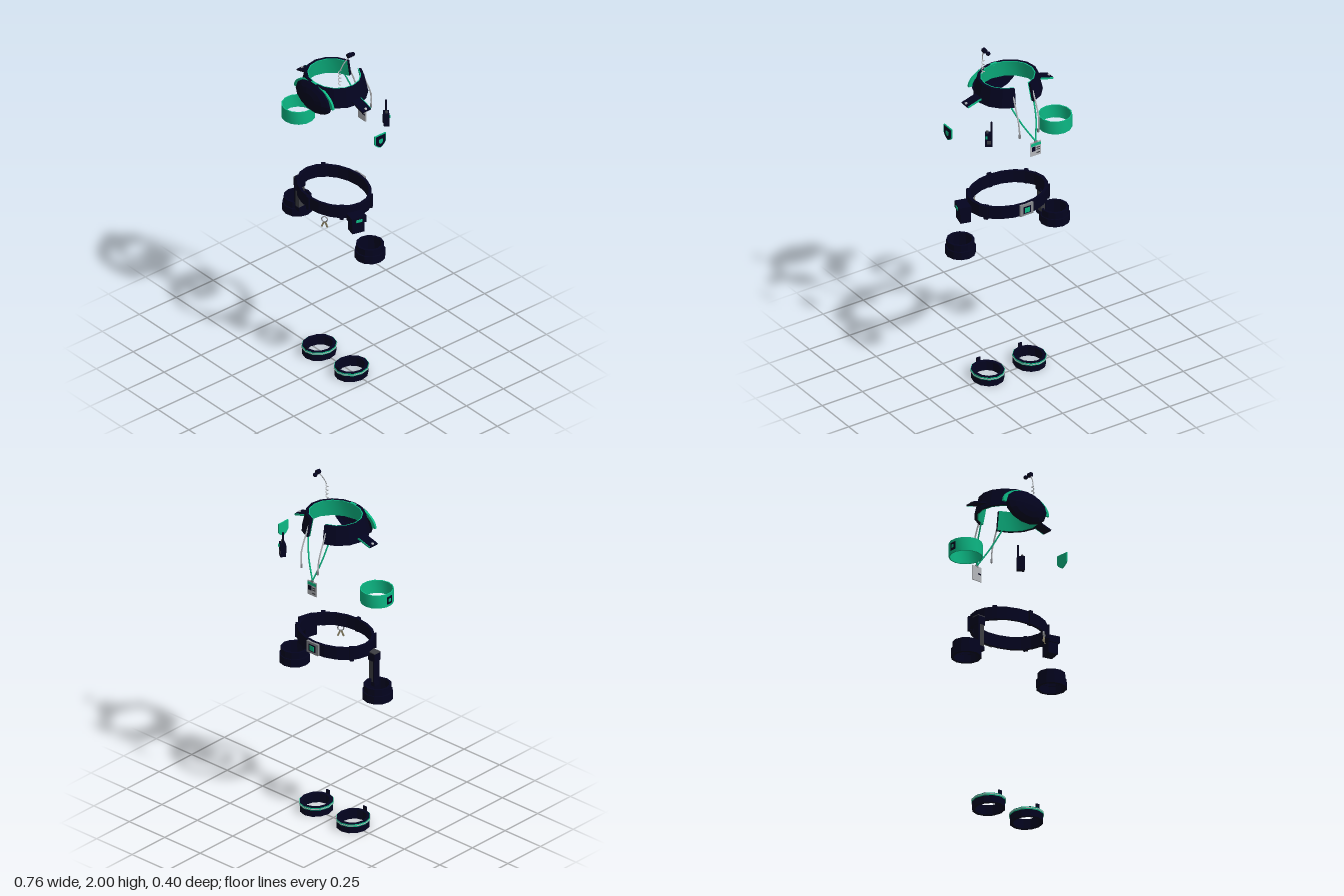
import * as THREE from 'three';
import { toCreasedNormals } from 'three/addons/utils/BufferGeometryUtils.js';

const mat = (name, color, side = THREE.FrontSide, flatShading = true) => {
  const m = new THREE.MeshStandardMaterial({ color, side, flatShading });
  m.name = name;
  return m;
};

export function createModel() {
  const root = new THREE.Group();
  const navy = mat('navy', 0x03031f, THREE.DoubleSide);
  const green = mat('green', 0x0cb884, THREE.DoubleSide, false);
  const grey = mat('lightGrey', 0xb4b7bb);
  const mid = mat('midGrey', 0x85878c);
  const steel = mat('darkGrey', 0x3c3d42);
  const brass = mat('brass', 0x8c8468);

  const add = (parent, name, geo, m, x = 0, y = 0, z = 0) => {
    const mesh = new THREE.Mesh(geo, m);
    mesh.name = name;
    mesh.position.set(x, y, z);
    parent.add(mesh);
    return mesh;
  };
  const group = (name, x = 0, y = 0, z = 0) => {
    const g = new THREE.Group();
    g.name = name;
    g.position.set(x, y, z);
    root.add(g);
    return g;
  };
  const box = (parent, name, w, h, d, m, x, y, z) => add(parent, name, new THREE.BoxGeometry(w, h, d), m, x, y, z);
  const v = (p) => new THREE.Vector3(...p);
  const tube = (parent, name, pts, r, m, n = 12) =>
    add(parent, name, new THREE.TubeGeometry(new THREE.CatmullRomCurve3(pts.map(v)), n, r, 5), m);

  // Closed band: outer radii r0 (bottom) and r1 (top), wall thickness t
  const profile = (r0, r1, t, h) => [[r0, 0], [r1, h], [r1 - t, h], [r0 - t, 0], [r0, 0]].map((p) => new THREE.Vector2(...p));
  const band = (parent, name, r0, r1, t, h, m, y = 0, n = 12, start = 0, len = Math.PI * 2) =>
    add(parent, name, toCreasedNormals(new THREE.LatheGeometry(profile(r0, r1, t, h), n, start, len), 0.7), m, 0, y, 0);

  // Collar, open at the throat, with a lining
  const collar = group('collar', 0, 1.7, 0.017);
  collar.scale.z = 0.9;
  const half = Math.PI - 0.3;
  band(collar, 'collarBand', 0.188, 0.165, 0.016, 0.1, navy, 0, 14, -half, half * 2);
  band(collar, 'collarLining', 0.172, 0.149, 0.006, 0.1, green, 0, 14, -half, half * 2);
  for (const s of [-1, 1]) {
    const end = add(collar, 'collarEnd', new THREE.ShapeGeometry(new THREE.Shape(profile(0.188, 0.165, 0.016, 0.1).slice(0, 4))), navy);
    end.rotation.y = s * half - Math.PI / 2;
  }

  // Folded hood behind the collar, with an arched trim
  const hood = add(root, 'hood', new THREE.SphereGeometry(1, 14, 4, 0, Math.PI * 2, 0, Math.PI / 2).rotateX(Math.PI / 2), navy, 0, 1.714, 0.152);
  hood.scale.set(0.14, 0.089, 0.047);
  const arch = new THREE.Shape();
  arch.absellipse(0, 0, 0.157, 0.093, 0, Math.PI, false);
  arch.absellipse(0, 0, 0.135, 0.077, Math.PI, 0, true);
  add(root, 'hoodTrim', new THREE.ExtrudeGeometry(arch, { depth: 0.012, bevelEnabled: false, curveSegments: 16 }), green, 0, 1.708, 0.147);

  // Shoulder straps, drawstrings and lanyard ribbons
  for (const s of [-1, 1]) {
    const strap = group('shoulderStrap', s * 0.223, 1.715, 0.02);
    strap.rotation.z = -s * 0.28;
    box(strap, 'strapPlate', 0.09, 0.008, 0.058, navy, 0, 0, 0);
    box(strap, 'strapEdge', 0.085, 0.009, 0.004, green, 0, 0, -0.03);
    add(strap, 'strapButton', new THREE.CylinderGeometry(0.008, 0.008, 0.006, 5).rotateY(Math.PI), grey, s * 0.034, 0.006, 0);
    tube(root, 'drawstring', [[s * 0.06, 1.76, -0.125], [s * 0.062, 1.69, -0.155], [s * 0.062, 1.62, -0.18], [s * 0.058, 1.55, -0.183]], 0.0045, grey, 6);
    add(root, 'drawstringTip', new THREE.CylinderGeometry(0.006, 0.006, 0.022, 6), mid, s * 0.058, 1.545, -0.183);
    tube(root, 'lanyard', [[s * 0.072, 1.7, -0.115], [s * 0.045 - 0.015, 1.6, -0.158], [-0.031, 1.495, -0.196]], 0.0045, green, 6);
  }

  // Identity card
  const card = group('identityCard', -0.031, 1.45, -0.197);
  box(card, 'cardPlate', 0.062, 0.082, 0.005, grey, 0, 0, 0);
  box(card, 'cardHeader', 0.06, 0.016, 0.003, green, 0, 0.027, -0.003);
  box(card, 'cardPhoto', 0.022, 0.026, 0.003, navy, 0.014, 0.001, -0.003);
  for (const y of [0.006, -0.006, -0.025]) box(card, 'cardLine', 0.02, 0.005, 0.003, steel, -0.014, y, -0.003);
  box(card, 'cardClip', 0.018, 0.012, 0.006, mid, 0, 0.042, 0);
  box(card, 'cardBackMark', 0.022, 0.007, 0.003, navy, 0.015, 0, 0.003);

  // Earpiece with coiled lead
  const coil = [];
  for (let i = 0; i <= 32; i++) {
    const a = (i / 8) * Math.PI * 2;
    coil.push([0.115 + 0.007 * Math.cos(a), 1.815 + i * 0.00275, 0.076 + 0.007 * Math.sin(a)]);
  }
  tube(root, 'earpieceCoil', coil, 0.0025, grey, 48);
  tube(root, 'earpieceLead', [[0.118, 1.903, 0.076], [0.127, 1.94, 0.062], [0.138, 1.98, 0.035]], 0.003, grey, 6);
  const hook = add(root, 'earHook', new THREE.CylinderGeometry(0.013, 0.013, 0.022, 8), navy, 0.137, 1.987, 0.03);
  hook.rotation.x = Math.PI / 2;
  tube(root, 'earLink', [[0.137, 1.988, 0.03], [0.135, 1.986, 0.015], [0.132, 1.982, 0.002]], 0.004, navy, 4);
  add(root, 'earBud', new THREE.IcosahedronGeometry(0.012, 1), navy, 0.132, 1.981, 0.002);

  // Chest radio
  const radio = group('radio', 0.226, 1.567, -0.146);
  radio.rotation.y = -0.6;
  box(radio, 'radioBody', 0.04, 0.076, 0.029, navy, 0, 0, 0);
  add(radio, 'radioAntenna', new THREE.CylinderGeometry(0.005, 0.006, 0.07, 6), navy, -0.014, 0.07, 0);
  add(radio, 'radioKnob', new THREE.CylinderGeometry(0.007, 0.007, 0.014, 8), steel, 0.008, 0.043, 0);
  box(radio, 'radioGrille', 0.022, 0.018, 0.003, steel, -0.002, -0.012, -0.015);
  box(radio, 'radioButton', 0.01, 0.014, 0.008, green, 0.012, 0.018, -0.016);
  box(radio, 'radioClip', 0.016, 0.045, 0.006, navy, 0, 0, 0.016);

  // Shoulder shield badge
  const shield = (w, h, d) => {
    const s = new THREE.Shape();
    s.moveTo(-w, h);
    s.lineTo(w, h);
    s.lineTo(w, -h * 0.25);
    s.quadraticCurveTo(w * 0.75, -h * 0.7, 0, -h);
    s.quadraticCurveTo(-w * 0.75, -h * 0.7, -w, -h * 0.25);
    return new THREE.ExtrudeGeometry(s, { depth: d, bevelEnabled: false, curveSegments: 3 }).rotateY(Math.PI / 2);
  };
  const badge = group('shoulderBadge', 0.367, 1.568, 0.017);
  add(badge, 'badgeBorder', shield(0.037, 0.04, 0.007), green);
  add(badge, 'badgeFace', shield(0.032, 0.035, 0.004), navy, 0.005);
  add(badge, 'badgeEmblem', shield(0.012, 0.014, 0.003), green, 0.008);

  // Arm band with an outward label
  const arm = group('armBand', -0.293, 1.39, 0.015);
  band(arm, 'armBandRing', 0.089, 0.089, 0.006, 0.075, green, 0, 14);
  box(arm, 'armLabel', 0.006, 0.042, 0.036, navy, -0.087, 0.037, 0);
  box(arm, 'armLabelMark', 0.003, 0.018, 0.016, green, -0.09, 0.037, 0);

  // Belt with loops
  const belt = group('belt', 0, 1.035, 0.018);
  const beltRing = band(belt, 'beltRing', 0.225, 0.225, 0.018, 0.07, navy, 0, 20);
  beltRing.scale.z = 0.77;
  for (const a of [0, 0.95, 2.1, -0.95, -2.1]) {
    const loop = box(belt, 'beltLoop', 0.022, 0.078, 0.024, navy, 0.22 * Math.sin(a), 0.035, 0.17 * Math.cos(a));
    loop.rotation.y = Math.atan2(Math.sin(a) / 0.22, Math.cos(a) / 0.17);
  }
  // Buckle
  box(belt, 'buckle', 0.08, 0.066, 0.012, mid, 0, 0.035, -0.176);
  box(belt, 'buckleInset', 0.046, 0.04, 0.003, navy, 0, 0.035, -0.183);
  box(belt, 'buckleEmblem', 0.03, 0.028, 0.003, green, 0, 0.035, -0.185);

  // Belt pouch
  const pouch = group('pouch', 0.243, 0.97, 0.07);
  pouch.rotation.y = -0.25;
  box(pouch, 'pouchBody', 0.056, 0.085, 0.07, navy, -0.002, 0.0425, 0);
  box(pouch, 'pouchFlap', 0.066, 0.038, 0.085, navy, 0, 0.08, 0);
  box(pouch, 'pouchTab', 0.005, 0.016, 0.036, green, 0.033, 0.078, 0);

  // Keys
  const keys = group('keys', 0.108, 1.015, 0.173);
  keys.rotation.y = 0.6;
  add(keys, 'keyRing', new THREE.TorusGeometry(0.016, 0.0035, 4, 10), mid);
  for (const s of [-1, 1]) {
    const key = box(keys, 'key', 0.009, 0.036, 0.005, brass, s * 0.009, -0.031, 0);
    key.rotation.z = s * 0.4;
  }

  // Thigh bands
  for (const s of [-1, 1]) {
    const thigh = group('thighBand', s * 0.293, 0.815, 0.02);
    band(thigh, 'thighLower', 0.081, 0.081, 0.016, 0.045, navy);
    band(thigh, 'thighUpper', 0.074, 0.074, 0.012, 0.04, navy, 0.042);
  }
  // Hanging strap between belt and thigh
  const drop = group('dropStrap', -0.236, 0, 0.055);
  box(drop, 'dropWebbing', 0.036, 0.18, 0.038, steel, 0, 0.95, 0);
  box(drop, 'dropTopClip', 0.048, 0.045, 0.044, navy, 0, 1.025, 0);
  box(drop, 'dropTopPlate', 0.048, 0.005, 0.044, steel, 0, 1.05, 0);
  box(drop, 'dropStripe', 0.01, 0.16, 0.04, navy, -0.014, 0.945, 0);
  box(drop, 'dropBottomClip', 0.042, 0.022, 0.042, navy, 0, 0.868, 0);

  // Ankle cuffs, with a pale reflective line on the stripe
  for (const s of [-1, 1]) {
    const cuff = group('ankleCuff', s * 0.13, 0, 0.01);
    cuff.scale.z = 1.09;
    band(cuff, 'cuffRing', 0.085, 0.085, 0.017, 0.054, navy);
    band(cuff, 'cuffStripe', 0.0875, 0.0875, 0.006, 0.014, green, 0.038);
    band(cuff, 'cuffReflector', 0.0895, 0.0895, 0.006, 0.004, grey, 0.043);
    box(cuff, 'cuffTab', 0.022, 0.04, 0.006, navy, 0, 0.057, 0.081);
  }
  return root;
}
